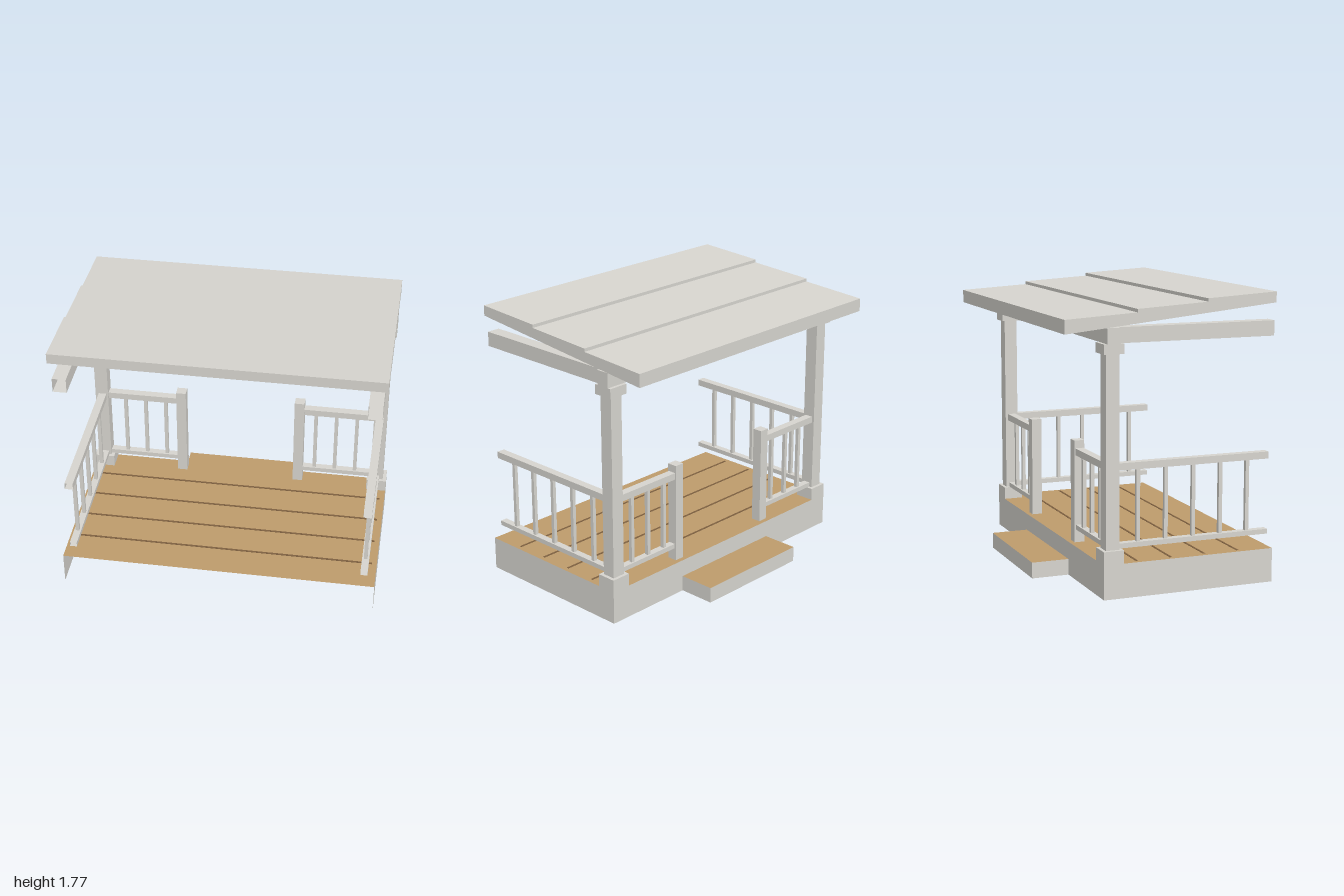
import * as THREE from 'three';

export function createModel() {
  const model = new THREE.Group();
  model.name = 'porch';
  const paint = (name, color) => {
    const m = new THREE.MeshStandardMaterial({ color, side: THREE.DoubleSide });
    m.name = name;
    return m;
  };
  const grey = paint('paleGrey', 0xd6d4ce);
  const wood = paint('deckBrown', 0xbd9b6b);
  const dark = paint('grooveBrown', 0x7d6040);

  // Face numbers of a box: 0 +x, 1 -x, 2 +y, 3 -y, 4 +z, 5 -z
  function box(name, x, y, z, mat = grey, open = [], parent = model) {
    const g = new THREE.BoxGeometry(x[1] - x[0], y[1] - y[0], z[1] - z[0]);
    const src = Array.from(g.index.array);
    g.setIndex(src.filter((_, i) => !open.includes(Math.floor(i / 6))));
    g.clearGroups();
    g.translate((x[0] + x[1]) / 2, (y[0] + y[1]) / 2, (z[0] + z[1]) / 2);
    const mesh = new THREE.Mesh(g, mat);
    mesh.name = name;
    parent.add(mesh);
    return mesh;
  }
  const around = (c, w) => [c - w / 2, c + w / 2];
  function floor(name, w, y, z0, z1) {
    const g = new THREE.PlaneGeometry(w, z1 - z0).rotateX(-Math.PI / 2);
    g.translate(0, y, (z0 + z1) / 2);
    const mesh = new THREE.Mesh(g, wood);
    mesh.name = name;
    model.add(mesh);
  }

  // Platform: thin skirt open to the house and below, with a plank deck
  const front = 0.667, back = -0.43, deckY = 0.21;
  box('skirt', [-1, 1], [0, deckY], [back, front], grey, [2, 3, 4]);
  floor('deck', 2, deckY, back, front);
  for (let i = 1; i < 5; i++) {
    const z = front + (back - front) * i / 5;
    box('deckGroove', [-0.97, 0.97], [deckY, deckY + 0.002], around(z, 0.014), dark, [3]);
  }

  // Step
  box('stepSkirt', [-0.4, 0.4], [0, 0.1], [-0.667, back], grey, [2, 3, 4]);
  floor('stepTread', 0.8, 0.1, -0.667, back);

  // Stepped, sloping roof, drawn as a side profile and extruded across
  const profile = [
    [0.667, 1.705], [0.667, 1.77], [0.222, 1.745], [0.222, 1.725],
    [-0.222, 1.7], [-0.222, 1.68], [-0.667, 1.655], [-0.667, 1.572],
  ];
  const shape = new THREE.Shape(profile.map(([z, y]) => new THREE.Vector2(-z, y)));
  const roofGeo = new THREE.ExtrudeGeometry(shape, { depth: 2, bevelEnabled: false });
  roofGeo.translate(0, 0, -1).rotateY(Math.PI / 2);
  const roof = new THREE.Mesh(roofGeo, grey);
  roof.name = 'roof';
  model.add(roof);

  // Back beam
  const postX = 0.935, postZ = -0.367;
  box('backBeam', [-1, 1], [1.505, 1.597], around(postZ, 0.085));

  for (const s of [1, -1]) {
    const side = new THREE.Group();
    side.name = s > 0 ? 'leftSide' : 'rightSide';
    model.add(side);
    const part = (name, x, y, z, open) =>
      box(name, s > 0 ? x : [-x[1], -x[0]], y, z, grey, open, side);

    // Corner post with base and cap
    part('postBase', [0.87, 1], [deckY, 0.29], around(postZ, 0.126));
    part('post', around(postX, 0.085), [0.29, 1.445], around(postZ, 0.085));
    part('postCap', [0.87, 1], [1.445, 1.505], around(postZ, 0.126));

    // Side beam, open where it meets the house
    part('sideBeam', around(postX, 0.085), [1.505, 1.597], [-0.325, front], [4]);

    // Side railing
    part('sideTopRail', around(0.93, 0.052), [0.757, 0.8], [-0.325, 0.655], [4]);
    part('sideBottomRail', around(0.93, 0.045), [0.29, 0.32], [-0.325, 0.655], [4]);
    for (let i = 0; i < 5; i++) {
      part('sideBaluster', around(0.93, 0.023), [0.32, 0.757], around(0.522 - i * 0.178, 0.023), [2, 3]);
    }

    // Back railing with newel post beside the step
    part('newelPost', [0.365, 0.43], [deckY, 0.848], around(postZ, 0.065));
    part('backTopRail', [0.43, 0.8925], [0.757, 0.8], around(postZ, 0.052));
    part('backBottomRail', [0.43, 0.8925], [0.29, 0.32], around(postZ, 0.045));
    for (let i = 0; i < 3; i++) {
      part('backBaluster', around(0.508 + i * 0.137, 0.023), [0.32, 0.757], around(postZ, 0.023), [2, 3]);
    }
  }
  return model;
}
